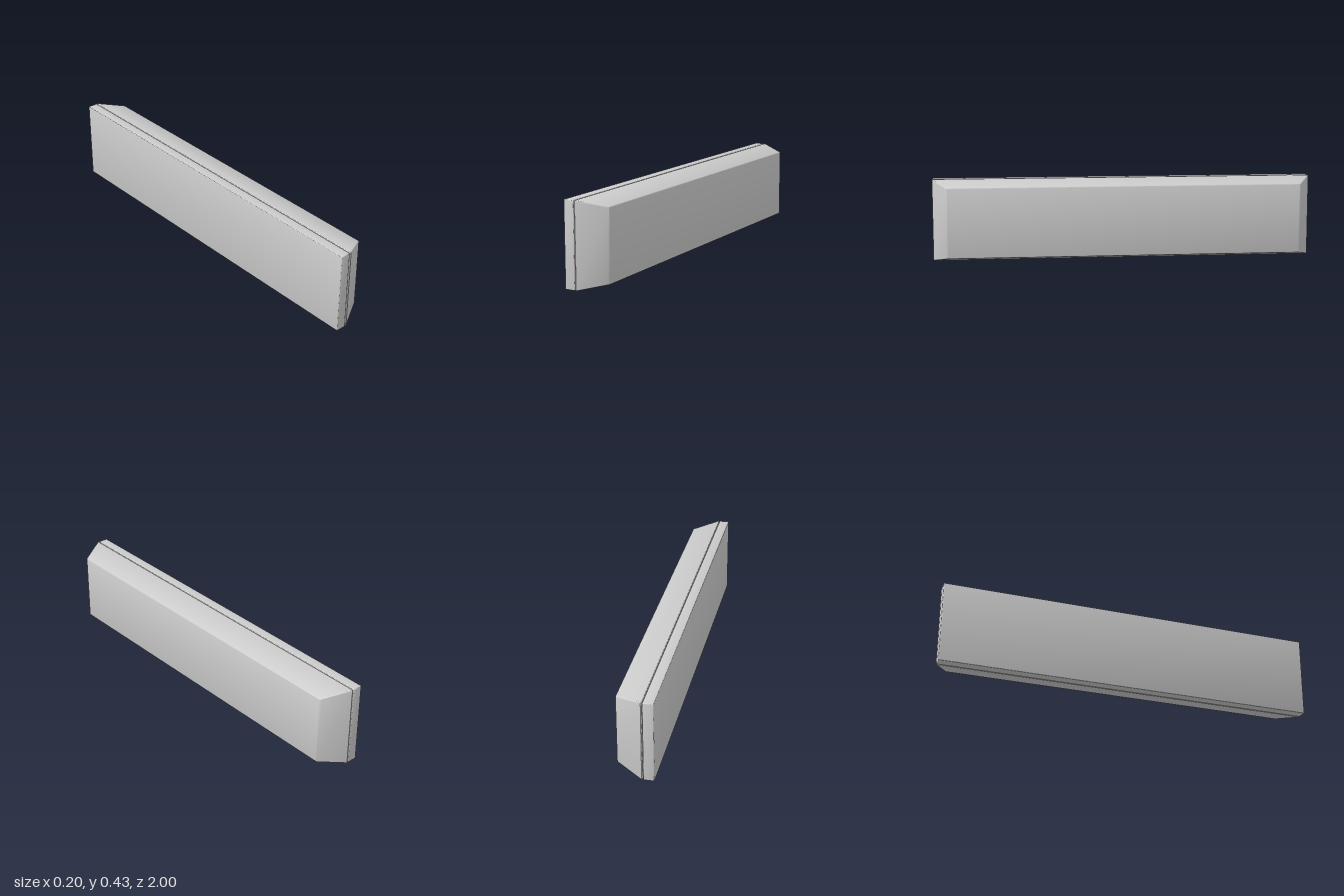
import * as THREE from 'three';
import { toCreasedNormals } from 'three/addons/utils/BufferGeometryUtils.js';
import { RoundedBoxGeometry } from 'three/addons/geometries/RoundedBoxGeometry.js';

const HEIGHT = 0.428, LENGTH = 2;

// Softly bevelled slab between two x positions, standing on the ground.
// insetY and insetZ pull its +x face in, which slopes the four sides.
function slab(name, x0, x1, radius, insetY = 0, insetZ = 0) {
  const width = x1 - x0;
  const geometry = new RoundedBoxGeometry(width, HEIGHT, LENGTH, 2, radius);
  const p = geometry.attributes.position;
  for (let i = 0; i < p.count; i++) {
    const start = -width / 2 + radius;
    const t = Math.max(0, (p.getX(i) - start) / (width - radius));
    p.setY(i, p.getY(i) - Math.sign(p.getY(i)) * insetY * t);
    p.setZ(i, p.getZ(i) - Math.sign(p.getZ(i)) * insetZ * t);
  }
  geometry.translate((x0 + x1) / 2, HEIGHT / 2, 0);
  const mesh = new THREE.Mesh(
    toCreasedNormals(geometry, 0.5),
    new THREE.MeshStandardMaterial({ color: 0xcccccc })
  );
  mesh.name = name;
  return mesh;
}

export function createModel() {
  const group = new THREE.Group();
  group.name = 'bevelledBar';

  // Flat backing plate, and the tapered bar separated from it by a fine groove
  group.add(slab('backPlate', -0.099, -0.0445, 0.005));
  group.add(slab('taperedBar', -0.0425, 0.099, 0.005, 0.031, 0.076));
  return group;
}
